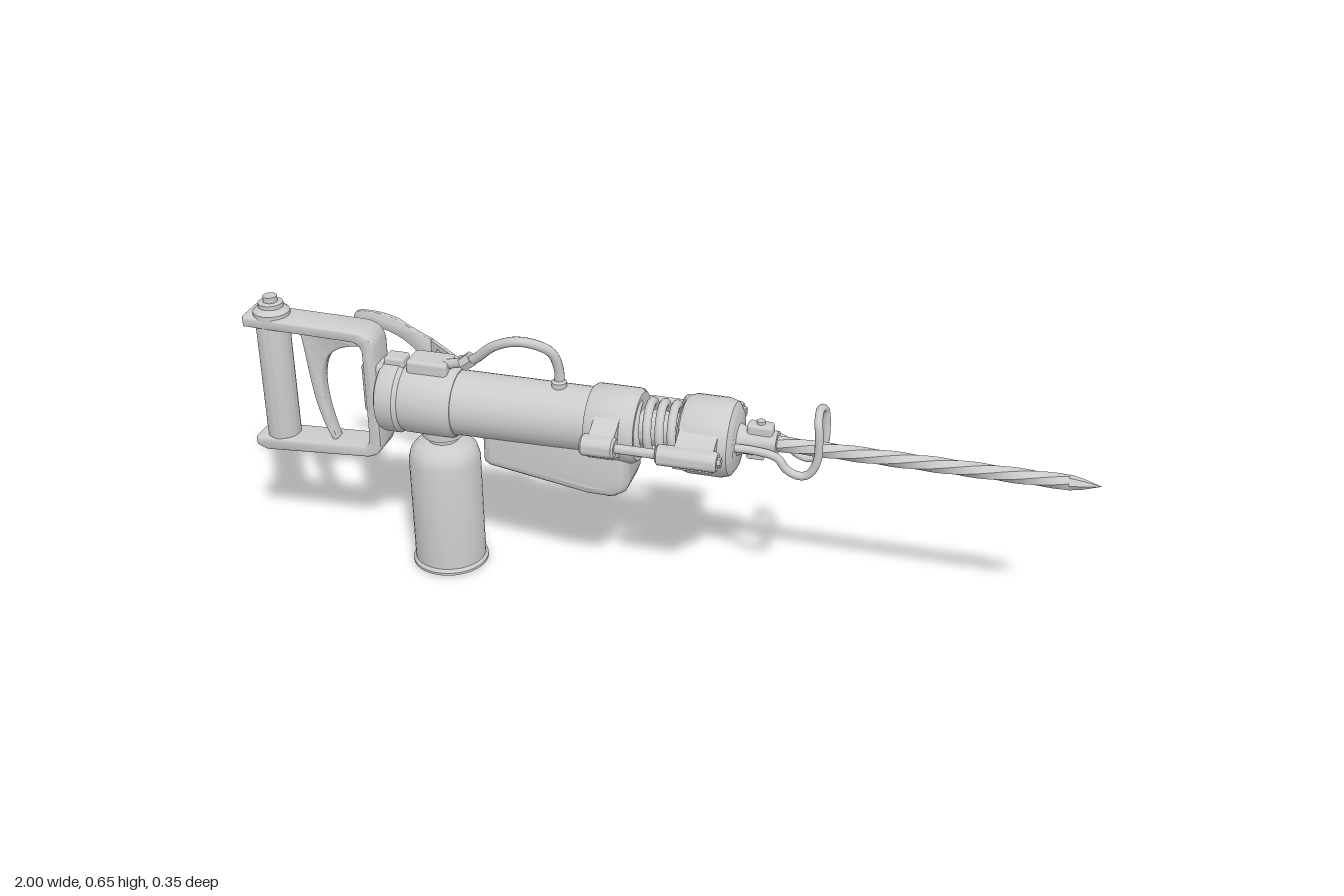
import * as THREE from 'three';
import { toCreasedNormals } from 'three/addons/utils/BufferGeometryUtils.js';
import { RoundedBoxGeometry } from 'three/addons/geometries/RoundedBoxGeometry.js';

const AY = 0.437, AZ = 0.022; // height and depth of the main axis
const mat = new THREE.MeshStandardMaterial({ color: 0xcccccc, side: THREE.DoubleSide });
const v = (x, y, z) => new THREE.Vector3(x, y, z);

export function createModel() {
  const root = new THREE.Group();

  const add = (name, geo, x = 0, y = 0, z = 0, crease = 0.6) => {
    const mesh = new THREE.Mesh(crease ? toCreasedNormals(geo, crease) : geo, mat);
    mesh.name = name;
    mesh.position.set(x, y, z);
    root.add(mesh);
    return mesh;
  };
  const lathe = (pts, seg = 40) => new THREE.LatheGeometry(pts.map(([r, h]) => new THREE.Vector2(r, h)), seg);
  // turned part along x, given as [x, radius]
  const turned = (name, pts, y = AY, z = AZ, seg = 40) =>
    add(name, lathe(pts.map(([x, r]) => [r, x]), seg).rotateZ(-Math.PI / 2), 0, y, z);
  // turned part along y, given as [radius, y]
  const upright = (name, pts, x, z = AZ, seg = 40) => add(name, lathe(pts, seg), x, 0, z);
  const tube = (name, pts, r, seg = 60, tension = 0.5) =>
    add(name, new THREE.TubeGeometry(new THREE.CatmullRomCurve3(pts, false, 'catmullrom', tension), seg, r, 12), 0, 0, 0, 0);
  const box = (name, w, h, d, x, y, z, r = 0.008) => add(name, new RoundedBoxGeometry(w, h, d, 3, r), x, y, z, 0);
  // side outline extruded across z, centred on cz
  const slab = (name, shape, width, bevel, cz = AZ) => add(name, new THREE.ExtrudeGeometry(shape, {
    depth: width - 2 * bevel, bevelThickness: bevel, bevelSize: bevel, bevelOffset: -bevel, bevelSegments: 4, curveSegments: 16,
  }), 0, 0, cz - width / 2 + bevel);
  const poly = (pts) => new THREE.Shape(pts.map(([x, y]) => new THREE.Vector2(x, y)));

  // barrel with rear cap, clamp band and front collar
  turned('barrel', [[-0.61, 0], [-0.61, 0.077], [-0.12, 0.077], [-0.12, 0]]);
  turned('rearCap', [[-0.67, 0], [-0.67, 0.065], [-0.66, 0.085], [-0.65, 0.09], [-0.615, 0.09], [-0.605, 0.082], [-0.605, 0]]);
  turned('clampBand', [[-0.605, 0.07], [-0.605, 0.083], [-0.595, 0.086], [-0.485, 0.086], [-0.475, 0.08], [-0.475, 0.07]]);
  turned('frontCollar', [[-0.15, 0.07], [-0.15, 0.083], [-0.142, 0.088], [-0.045, 0.088], [-0.033, 0.08], [-0.033, 0]]);
  turned('noseCap', [[0.065, 0], [0.065, 0.072], [0.073, 0.086], [0.09, 0.092], [0.165, 0.092], [0.185, 0.086], [0.196, 0.068], [0.196, 0]]);

  // spring between the two collars
  turned('springCore', [[-0.04, 0.042], [0.08, 0.042]]);
  const coil = [];
  for (let i = 0; i <= 96; i++) {
    const a = (i / 96) * Math.PI * 2 * 4;
    coil.push(v(-0.04 + 0.115 * i / 96, AY + 0.061 * Math.cos(a), AZ + 0.061 * Math.sin(a)));
  }
  tube('spring', coil, 0.0105, 280);

  // flanges with a lug each side
  const flangeShape = new THREE.Shape();
  flangeShape.moveTo(0.045, 0.075);
  flangeShape.quadraticCurveTo(0.08, 0.035, 0.13, 0.024);
  flangeShape.lineTo(0.13, -0.024);
  flangeShape.quadraticCurveTo(0.08, -0.035, 0.045, -0.075);
  flangeShape.lineTo(-0.045, -0.075);
  flangeShape.quadraticCurveTo(-0.08, -0.035, -0.13, -0.024);
  flangeShape.lineTo(-0.13, 0.024);
  flangeShape.quadraticCurveTo(-0.08, 0.035, -0.045, 0.075);
  for (const [x, w] of [[-0.125, 0.06], [0.075, 0.09]]) {
    const g = new THREE.ExtrudeGeometry(flangeShape, { depth: w, bevelEnabled: false, curveSegments: 10 });
    add('flange', g.rotateY(Math.PI / 2), x, AY, AZ);
  }
  for (const s of [-1, 1]) {
    const z = AZ + s * 0.124;
    turned('rearLug', [[-0.14, 0], [-0.14, 0.02], [-0.135, 0.025], [-0.065, 0.025], [-0.06, 0.02], [-0.06, 0]], AY + 0.004, z, 24);
    turned('frontLug', [[0.035, 0], [0.035, 0.018], [0.04, 0.024], [0.17, 0.024], [0.176, 0.02], [0.176, 0]], AY + 0.004, z, 24);
    turned('tieRod', [[-0.1, 0.011], [0.08, 0.011]], AY + 0.004, z, 16);
    turned('tieBolt', [[0.17, 0.012], [0.184, 0.012], [0.184, 0]], AY + 0.004, z, 6);
  }

  // chuck and latch
  turned('chuck', [[0.19, 0], [0.19, 0.04], [0.21, 0.032], [0.285, 0.03], [0.285, 0]], AY, AZ, 24);
  box('latchBlock', 0.06, 0.06, 0.035, 0.245, AY + 0.018, AZ);
  box('latchKey', 0.04, 0.035, 0.018, 0.235, AY - 0.026, AZ, 0.004);
  upright('latchPin', [[0.01, 0.47], [0.01, 0.492], [0, 0.492]], 0.245, AZ, 12);

  // long six-sided bit, gently twisted, with a pointed tip
  const bit = new THREE.CylinderGeometry(0.0175, 0.0185, 0.75, 6, 60);
  const p = bit.attributes.position;
  for (let i = 0; i < p.count; i++) {
    const h = p.getY(i), a = h * 12, x = p.getX(i), z = p.getZ(i);
    p.setXYZ(i, x * Math.cos(a) - z * Math.sin(a), h, x * Math.sin(a) + z * Math.cos(a));
  }
  add('bit', bit.rotateZ(-Math.PI / 2), 0.555, AY, AZ - 0.003);
  turned('bitTip', [[0.93, 0.0175], [0.96, 0.012], [1, 0]], AY, AZ - 0.003, 6);

  // retainer hoop: straight arms, dipping and rising into an arch
  const hoop = [];
  for (const s of [1, -1]) {
    const z = AZ + s * 0.043;
    const arm = [v(0.17, 0.437, z), v(0.24, 0.437, z), v(0.29, 0.428, z), v(0.315, 0.4, z), v(0.345, 0.388, z),
      v(0.37, 0.4, z), v(0.385, 0.44, z), v(0.385, 0.5, z), v(0.381, 0.525, AZ + s * 0.033)];
    if (s === 1) hoop.push(...arm, v(0.378, 0.537, AZ));
    else hoop.push(...arm.reverse());
  }
  tube('retainerHoop', hoop, 0.0095, 150);

  // casing and plug under the barrel
  const casing = slab('lowerCasing', poly([[-0.41, 0.4], [-0.41, 0.31], [-0.395, 0.3], [-0.15, 0.268], [-0.09, 0.268],
    [-0.06, 0.285], [-0.05, 0.31], [-0.05, 0.4]]), 0.126, 0.022);
  const cp = casing.geometry.attributes.position; // narrower toward the back
  for (let i = 0; i < cp.count; i++) {
    const t = THREE.MathUtils.clamp((-0.15 - cp.getX(i)) / 0.26, 0, 1);
    cp.setZ(i, 0.041 + (cp.getZ(i) - 0.041) * (1 - 0.25 * t));
  }
  casing.geometry = toCreasedNormals(casing.geometry, 0.6);
  upright('drainPlug', [[0, 0.253], [0.024, 0.253], [0.032, 0.262], [0.033, 0.285]], -0.11, AZ, 16);

  // canister with neck
  upright('canister', [[0, 0.004], [0.08, 0.004], [0.086, 0], [0.092, 0.002], [0.092, 0.008], [0.086, 0.016], [0.086, 0.285],
    [0.08, 0.308], [0.066, 0.324], [0.04, 0.333], [0, 0.335]], -0.525);
  upright('canisterNeck', [[0.036, 0.325], [0.036, 0.343], [0.05, 0.348], [0.05, 0.385]], -0.525);

  // D-shaped handle frame
  const frame = new THREE.Shape();
  frame.moveTo(-1, 0.61);
  frame.lineTo(-0.715, 0.605);
  frame.quadraticCurveTo(-0.672, 0.6, -0.67, 0.56);
  frame.lineTo(-0.67, 0.31);
  frame.quadraticCurveTo(-0.675, 0.28, -0.71, 0.275);
  frame.lineTo(-0.975, 0.257);
  frame.lineTo(-1, 0.268);
  frame.lineTo(-1, 0.288);
  frame.lineTo(-0.72, 0.302);
  frame.quadraticCurveTo(-0.7, 0.305, -0.7, 0.33);
  frame.lineTo(-0.7, 0.55);
  frame.quadraticCurveTo(-0.702, 0.578, -0.73, 0.578);
  frame.lineTo(-1, 0.584);
  slab('handleFrame', frame, 0.084, 0.006);
  upright('grip', [[0.038, 0.27], [0.04, 0.3], [0.04, 0.57], [0.038, 0.59]], -0.942);
  upright('gripBolt', [[0.044, 0.605], [0.044, 0.617], [0.03, 0.628], [0.03, 0.638], [0.017, 0.64], [0.017, 0.654], [0, 0.654]], -0.942, AZ, 16);
  box('handleMount', 0.06, 0.13, 0.07, -0.68, AY + 0.02, AZ, 0.012);

  // curved trigger inside the handle
  const trigger = new THREE.Shape();
  trigger.moveTo(-0.87, 0.585);
  trigger.bezierCurveTo(-0.85, 0.5, -0.86, 0.39, -0.805, 0.29);
  trigger.lineTo(-0.795, 0.3);
  trigger.bezierCurveTo(-0.825, 0.4, -0.825, 0.46, -0.81, 0.5);
  trigger.quadraticCurveTo(-0.79, 0.55, -0.72, 0.555);
  trigger.lineTo(-0.72, 0.585);
  slab('trigger', trigger, 0.034, 0.006);

  // hose arching over the barrel, with its fittings
  tube('hose', [v(-0.23, 0.5, 0.022), v(-0.23, 0.56, 0.024), v(-0.247, 0.61, 0.04), v(-0.305, 0.637, 0.067),
    v(-0.37, 0.615, 0.062), v(-0.43, 0.565, 0.045), v(-0.49, 0.54, 0.03), v(-0.54, 0.53, 0.025)], 0.0115);
  upright('hoseSocket', [[0.018, 0.5], [0.018, 0.525], [0.012, 0.53]], -0.23, 0.022, 16);
  const nut = add('hoseNut', new THREE.CylinderGeometry(0.018, 0.018, 0.03, 6), -0.445, 0.557, 0.041);
  nut.rotation.z = -0.9;
  box('valveBlock', 0.1, 0.04, 0.07, -0.545, 0.525, AZ);
  box('valveTab', 0.05, 0.025, 0.045, -0.63, 0.528, AZ, 0.006);

  // side lever: pivot, bent bracket with a hole and a long rounded paddle
  box('leverMount', 0.06, 0.045, 0.05, -0.53, 0.462, -0.067);
  const pivot = add('leverPivot', new THREE.CylinderGeometry(0.018, 0.018, 0.05, 16), -0.525, 0.465, -0.1);
  pivot.rotation.x = Math.PI / 2;
  const bracket = poly([[-0.01, -0.02], [0.115, -0.025], [0.12, 0.025], [-0.01, 0.018]]);
  const hole = new THREE.Path();
  hole.absarc(0.075, 0, 0.01, 0, Math.PI * 2, true);
  bracket.holes.push(hole);
  const arm = add('leverBracket', new THREE.ExtrudeGeometry(bracket, { depth: 0.009, bevelEnabled: false }), -0.535, 0.468, -0.1);
  arm.rotation.y = Math.PI - 0.63;
  const paddle = new THREE.Shape();
  paddle.moveTo(-0.62, 0.443);
  paddle.lineTo(-0.62, 0.495);
  paddle.quadraticCurveTo(-0.66, 0.51, -0.7, 0.535);
  paddle.quadraticCurveTo(-0.74, 0.553, -0.8, 0.55);
  paddle.quadraticCurveTo(-0.825, 0.545, -0.82, 0.522);
  paddle.quadraticCurveTo(-0.81, 0.508, -0.76, 0.508);
  paddle.quadraticCurveTo(-0.7, 0.5, -0.66, 0.455);
  slab('leverPaddle', paddle, 0.011, 0.003, -0.168);

  return root;
}
